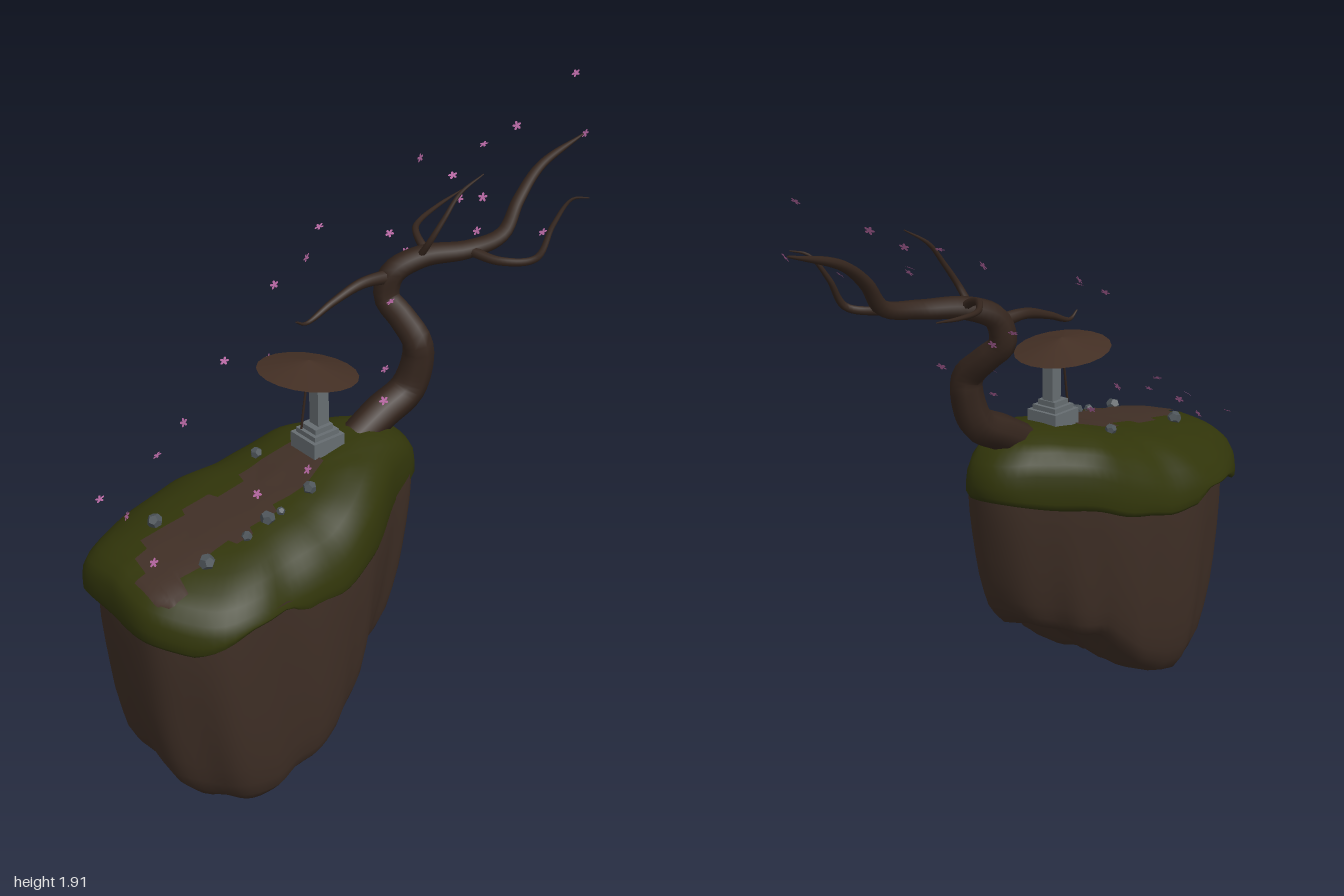
import * as THREE from 'three';

const mat = (name, color, side = THREE.FrontSide) => {
  const m = new THREE.MeshStandardMaterial({ color, side });
  m.name = name;
  return m;
};

// Piecewise linear lookup in [[key, value], ...] with rising keys
const lookup = (table, k) => {
  if (k <= table[0][0]) return table[0][1];
  for (let i = 1; i < table.length; i++) {
    const [k0, v0] = table[i - 1], [k1, v1] = table[i];
    if (k <= k1) return v0 + (v1 - v0) * (k - k0) / (k1 - k0);
  }
  return table[table.length - 1][1];
};

// Skin over rings of [x, y, z]
function loft(rings, closed = true) {
  const n = rings[0].length, index = [];
  for (let i = 0; i < rings.length - 1; i++) {
    for (let j = 0; j < (closed ? n : n - 1); j++) {
      const a = i * n + j, b = i * n + (j + 1) % n;
      index.push(a, b, a + n, b, b + n, a + n);
    }
  }
  const g = new THREE.BufferGeometry();
  g.setAttribute('position', new THREE.Float32BufferAttribute(rings.flat(2), 3));
  g.setIndex(index);
  g.computeVertexNormals();
  return g;
}

// Tapered limb through [x, y, z] points; radii spread evenly along it
function limb(points, radii, segments = 36) {
  const curve = new THREE.CatmullRomCurve3(points.map(p => new THREE.Vector3(...p)));
  const g = new THREE.TubeGeometry(curve, segments, 1, 8);
  const table = radii.map((r, i) => [i / (radii.length - 1), r]);
  const pos = g.attributes.position, v = new THREE.Vector3();
  for (let i = 0; i < pos.count; i++) {
    const u = Math.floor(i / 9) / segments, c = curve.getPointAt(u);
    v.fromBufferAttribute(pos, i).sub(c).multiplyScalar(lookup(table, u)).add(c);
    pos.setXYZ(i, v.x, v.y, v.z);
  }
  return g;
}

export function createModel() {
  const group = new THREE.Group();
  const add = (name, geometry, material, parent = group) => {
    const mesh = new THREE.Mesh(geometry, material);
    mesh.name = name;
    parent.add(mesh);
    return mesh;
  };
  const grass = mat('moss green', 0x31350a);
  const earth = mat('earth brown', 0x3e2e25);
  const dirt = mat('path brown', 0x402f26, THREE.DoubleSide);
  const bark = mat('bark brown', 0x34251d, THREE.DoubleSide);
  const stone = mat('stone grey', 0x666d71);
  const pebble = mat('pebble grey', 0x4d5459);
  pebble.flatShading = true;
  const canopy = mat('parasol brown', 0x432f24, THREE.DoubleSide);
  const pink = mat('blossom pink', 0xb868a4, THREE.DoubleSide);

  // Island outline in plan, [x, z]
  const plan = [[0, .99], [-.2, .97], [-.3, .85], [-.375, .6], [-.35, .4], [-.27, .15], [-.17, 0], [-.08, -.11],
    [0, -.145], [.09, -.125], [.17, .02], [.3, .22], [.35, .38], [.355, .6], [.37, .7], [.345, .84], [.25, .94], [.16, .99]];
  const outline = new THREE.CatmullRomCurve3(plan.map(([x, z]) => new THREE.Vector3(x, 0, z)), true)
    .getSpacedPoints(96).slice(0, 96);
  const cz = .45;
  const crest = [[-.15, .965], [-.05, 1], [.05, 1.005], [.2, .985], [.4, .92], [.6, .885], [.8, .865], [1, .86]];
  const hem = [[-.15, .8], [0, .765], [.2, .715], [.4, .68], [.53, .67], [.6, .72], [.75, .715], [.9, .655], [1, .665]];
  const underside = [[.05, .28], [.15, .255], [.26, .235], [.35, .13], [.43, .055], [.52, .01], [.65, .015], [.82, .035], [.95, .1]];

  // Grass cap: [outline scale, drop below the crest, blend towards the hem]
  const cap = [[.001, 0, 0], [.2, 0, 0], [.4, .004, 0], [.55, .014, 0], [.7, .036, 0], [.82, .068, 0], [.9, .1, 0],
    [.96, .13, .08], [.99, .15, .25], [1, .16, .55], [1, .16, .85], [.98, .16, 1], [.9, .16, .97]];
  const capMesh = add('grassCap', loft(cap.map(([s, drop, blend]) => outline.map((p, j) => {
    const a = Math.atan2(p.z - cz, p.x), z = cz + (p.z - cz) * s;
    const side = .35 + .65 * Math.abs(Math.cos(a));
    const wave = .007 * Math.sin(a * 5) + .004 * Math.sin(a * 11 + 1);
    const top = lookup(crest, z) - drop * side + wave * s ** 4;
    const bottom = lookup(hem, z) + wave;
    return [p.x * s, top + (bottom - top) * blend, z];
  }))), grass);

  // Rock body: [outline scale, fraction of the way down]; the back undercuts forwards
  const body = [[.95, 0], [.955, .08], [.955, .2], [.945, .35], [.93, .5], [.91, .65], [.88, .78], [.85, .88],
    [.8, .95], [.73, 1], [.6, 1], [.4, 1], [.2, 1], [.001, 1]];
  add('rockBody', loft(body.map(([s, f]) => outline.map(p => {
    const a = Math.atan2(p.z - cz, p.x);
    const r = s * (1 + f * .02 * Math.sin(a * 9 + 2 * f) + .01 * Math.sin(a * 5 + 1) + .012 * f * Math.sin(a * 17));
    const back = Math.max(0, (cz - p.z) / .6);
    const z = cz + (p.z - cz) * r + .075 * f * back * s;
    const x = p.x * r * .97 + .022 + .008 * f;
    const top = lookup(hem, p.z) + .03;
    const bottom = Math.max(0, lookup(underside, z) + .018 * f * Math.sin(x * 23 + z * 15));
    return [x, top + (bottom - top) * f, z];
  }))), earth);

  // Ground height, for things resting on the grass
  group.updateMatrixWorld(true);
  const ray = new THREE.Raycaster(), down = new THREE.Vector3(0, -1, 0);
  const ground = (x, z) => {
    ray.set(new THREE.Vector3(x, 3, z), down);
    const hit = ray.intersectObject(capMesh)[0];
    return hit ? Math.max(hit.point.y, .79) : .79;
  };

  // Ragged dirt path: [z, edge x]
  const left = [[.24, -.07], [.36, -.09], [.45, -.09], [.46, -.05], [.56, -.05], [.57, -.085], [.67, -.085], [.68, -.055],
    [.84, -.06], [.85, -.01], [.9, 0], [.91, .07], [.95, .07]];
  const right = [[.24, .08], [.35, .12], [.47, .11], [.48, .145], [.58, .14], [.59, .17], [.65, .17], [.66, .14],
    [.76, .15], [.77, .17], [.85, .16], [.86, .215], [.93, .215], [.94, .19]];
  const rows = [];
  for (let z = .95; z > .24; z -= .01) {
    const a = lookup(left, z), b = lookup(right, z);
    rows.push(Array.from({ length: 13 }, (_, i) => {
      const x = a + (b - a) * i / 12;
      return [x, ground(x, z) + .008, z];
    }));
  }
  add('path', loft(rows, false), dirt);

  // Pebbles beside the path: [x, z, radius]
  [[-.13, .35, .02], [-.1, .76, .025], [.14, .35, .022], [.15, .52, .024], [.165, .61, .017], [.17, .76, .026], [.15, .47, .014]]
    .forEach(([x, z, r], i) => {
      const m = add('pebble', new THREE.DodecahedronGeometry(r), pebble);
      m.position.set(x, ground(x, z) + r * .5, z);
      m.rotation.set(i, i * 2, 0);
    });

  // Stone post on a stepped base
  const post = new THREE.Group();
  post.name = 'stonePost';
  group.add(post);
  [[.12, .97, 1.022], [.095, 1.022, 1.038], [.07, 1.038, 1.055], [.043, 1.055, 1.2]].forEach(([w, y0, y1], i) => {
    add(i < 3 ? 'baseStep' : 'shaft', new THREE.BoxGeometry(w, y1 - y0, w), stone, post).position.set(.003, (y0 + y1) / 2, i < 3 ? .208 : .2);
  });

  // Tilted parasol with a thin pole
  const parasol = new THREE.Group();
  parasol.name = 'parasol';
  parasol.position.set(-.025, 1.228, .22);
  parasol.rotation.x = -.155;
  group.add(parasol);
  add('parasolCanopy', new THREE.ConeGeometry(.16, .04, 20, 1, true), canopy, parasol).position.y = .02;
  add('parasolPole', new THREE.CylinderGeometry(.004, .004, .25, 6), bark, parasol).position.y = -.09;

  // Leaning bare tree
  const tree = new THREE.Group();
  tree.name = 'tree';
  group.add(tree);
  add('trunk', limb([[.01, .95, .06], [.01, 1.005, -.05], [.02, 1.06, -.15], [.03, 1.16, -.185], [.025, 1.22, -.185], [-.04, 1.285, -.175],
    [-.095, 1.34, -.16], [-.09, 1.42, -.18], [-.05, 1.465, -.27], [.02, 1.475, -.4], [.045, 1.5, -.53],
    [.03, 1.59, -.61], [.005, 1.67, -.73], [0, 1.73, -.93]],
  [.055, .06, .058, .052, .047, .043, .039, .034, .029, .025, .021, .017, .012, .003], 70), bark, tree);
  add('frontBranch', limb([[-.09, 1.41, -.18], [-.1, 1.415, -.06], [-.1, 1.385, .06], [-.095, 1.35, .17], [-.09, 1.37, .21]],
    [.026, .019, .014, .01, .003]), bark, tree);
  add('rightBranch', limb([[-.04, 1.465, -.29], [-.09, 1.495, -.295], [-.14, 1.51, -.32], [-.2, 1.505, -.39], [-.24, 1.515, -.51], [-.26, 1.53, -.63]],
    [.015, .012, .01, .008, .006, .002]), bark, tree);
  add('leftBranch', limb([[.02, 1.475, -.4], [.13, 1.46, -.44], [.21, 1.475, -.52], [.215, 1.57, -.58], [.235, 1.65, -.64], [.28, 1.66, -.67]],
    [.018, .015, .013, .01, .007, .002]), bark, tree);
  add('upperBranch', limb([[-.05, 1.46, -.25], [-.01, 1.53, -.265], [.005, 1.6, -.31], [.01, 1.67, -.37], [.03, 1.72, -.45]],
    [.013, .01, .008, .006, .002]), bark, tree);

  // Drifting five-petal blossoms
  const flower = new THREE.Shape(Array.from({ length: 30 }, (_, i) => {
    const a = i / 30 * Math.PI * 2, r = .006 + .01 * Math.abs(Math.cos(a * 2.5));
    return new THREE.Vector2(Math.cos(a) * r, Math.sin(a) * r);
  }));
  const flowerGeo = new THREE.ShapeGeometry(flower);
  [[-.1, 1.9, -.985], [-.1, 1.78, -.72], [-.22, 1.69, -.69], [0, 1.73, -.94], [-.36, 1.445, -.72], [-.1, 1.68, -.44],
    [-.3, 1.67, -.48], [.23, 1.57, -.52], [-.29, 1.445, -.34], [-.22, 1.4, -.35], [.05, 1.41, -.05], [.09, 1.57, -.37],
    [.06, 1.66, -.42], [-.31, 1.54, -.06], [-.2, 1.51, .08], [-.21, 1.45, .2], [-.34, 1.17, .31], [-.28, 1.16, .18],
    [.06, 1.19, -.02], [.09, 1.1, .01], [-.29, 1.04, .51], [-.22, 1.01, .66], [.17, 1.03, .38], [.06, .935, .49],
    [-.26, .91, .85], [-.16, .885, .82], [.12, .9, .91]].forEach(([x, y, z], i) => {
    const m = add('blossom', flowerGeo, pink);
    m.position.set(x, y, z);
    m.rotation.set(-.8 + .3 * Math.sin(i * 2.3), .3 * Math.sin(i * 1.7), i);
  });
  return group;
}
